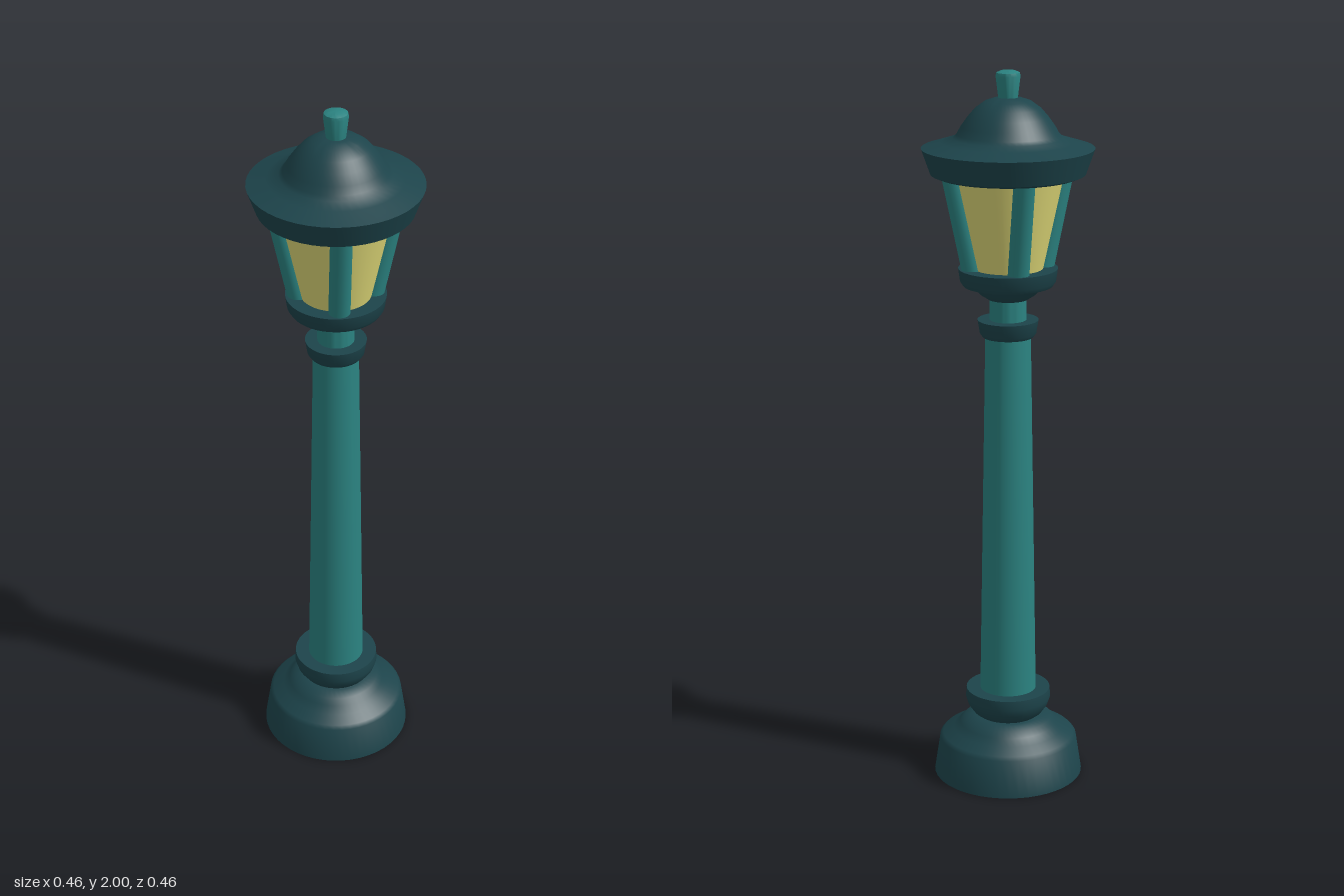
import * as THREE from 'three';
import { toCreasedNormals } from 'three/addons/utils/BufferGeometryUtils.js';

const SEGMENTS = 48;
const iron = new THREE.MeshStandardMaterial({ color: 0x1d444b });
const teal = new THREE.MeshStandardMaterial({ color: 0x2b8381 });
const glass = new THREE.MeshStandardMaterial({ color: 0xdcd676 });

// Turned part from [radius, height] pairs, listed bottom to top
function turned(name, profile, material) {
  const points = profile.map(([r, y]) => new THREE.Vector2(r, y));
  const geometry = toCreasedNormals(new THREE.LatheGeometry(points, SEGMENTS), 0.6);
  const mesh = new THREE.Mesh(geometry, material);
  mesh.name = name;
  return mesh;
}

// Straight round bar between two points
function bar(name, from, to, radius, material) {
  const direction = to.clone().sub(from);
  const mesh = new THREE.Mesh(new THREE.CylinderGeometry(radius, radius, direction.length(), 16), material);
  mesh.position.copy(from).add(to).multiplyScalar(0.5);
  mesh.quaternion.setFromUnitVectors(new THREE.Vector3(0, 1, 0), direction.normalize());
  mesh.name = name;
  return mesh;
}

export function createModel() {
  const model = new THREE.Group();
  model.name = 'streetLamp';

  // Stepped foot and the rounded collar above it
  model.add(turned('base', [
    [0, 0], [0.21, 0], [0.194, 0.105], [0.185, 0.115], [0.155, 0.13],
    [0.137, 0.148], [0.122, 0.163], [0.095, 0.173], [0, 0.173],
  ], iron));
  model.add(turned('baseCollar', [
    [0, 0.165], [0.075, 0.165], [0.098, 0.182], [0.113, 0.203], [0.12, 0.225],
    [0.118, 0.252], [0, 0.252],
  ], iron));

  // Tapered post with its upper collar and neck
  model.add(turned('post', [[0, 0.24], [0.079, 0.24], [0.062, 1.29], [0, 1.29]], teal));
  model.add(turned('postCollar', [
    [0, 1.28], [0.07, 1.28], [0.077, 1.29], [0.083, 1.327], [0, 1.327],
  ], iron));
  model.add(turned('neck', [[0, 1.32], [0.05, 1.32], [0.05, 1.4], [0, 1.4]], teal));

  // Lantern tray, glass and four slanted bars
  model.add(turned('lanternTray', [
    [0, 1.385], [0.055, 1.385], [0.075, 1.398], [0.093, 1.417], [0.122, 1.423],
    [0.13, 1.435], [0.135, 1.47], [0, 1.47],
  ], iron));
  model.add(turned('lanternGlass', [[0, 1.46], [0.093, 1.46], [0.151, 1.73], [0, 1.73]], glass));
  const bars = new THREE.Group();
  bars.name = 'lanternBars';
  for (let i = 0; i < 4; i++) {
    const angle = Math.PI / 4 + (i * Math.PI) / 2;
    const at = (r, y) => new THREE.Vector3(r * Math.cos(angle), y, r * Math.sin(angle));
    bars.add(bar('lanternBar', at(0.097, 1.455), at(0.156, 1.735), 0.029, teal));
  }
  model.add(bars);

  // Flared roof with a domed crown
  model.add(turned('roof', [
    [0, 1.72], [0.19, 1.72], [0.208, 1.727], [0.232, 1.795], [0.18, 1.811],
    [0.147, 1.822], [0.137, 1.832], [0.126, 1.852], [0.108, 1.877], [0.088, 1.9],
    [0.062, 1.919], [0.035, 1.928], [0, 1.93],
  ], iron));

  // Finial
  model.add(turned('finial', [
    [0, 1.92], [0.025, 1.92], [0.033, 1.985], [0.031, 1.994], [0.02, 1.999], [0, 2],
  ], teal));

  return model;
}
